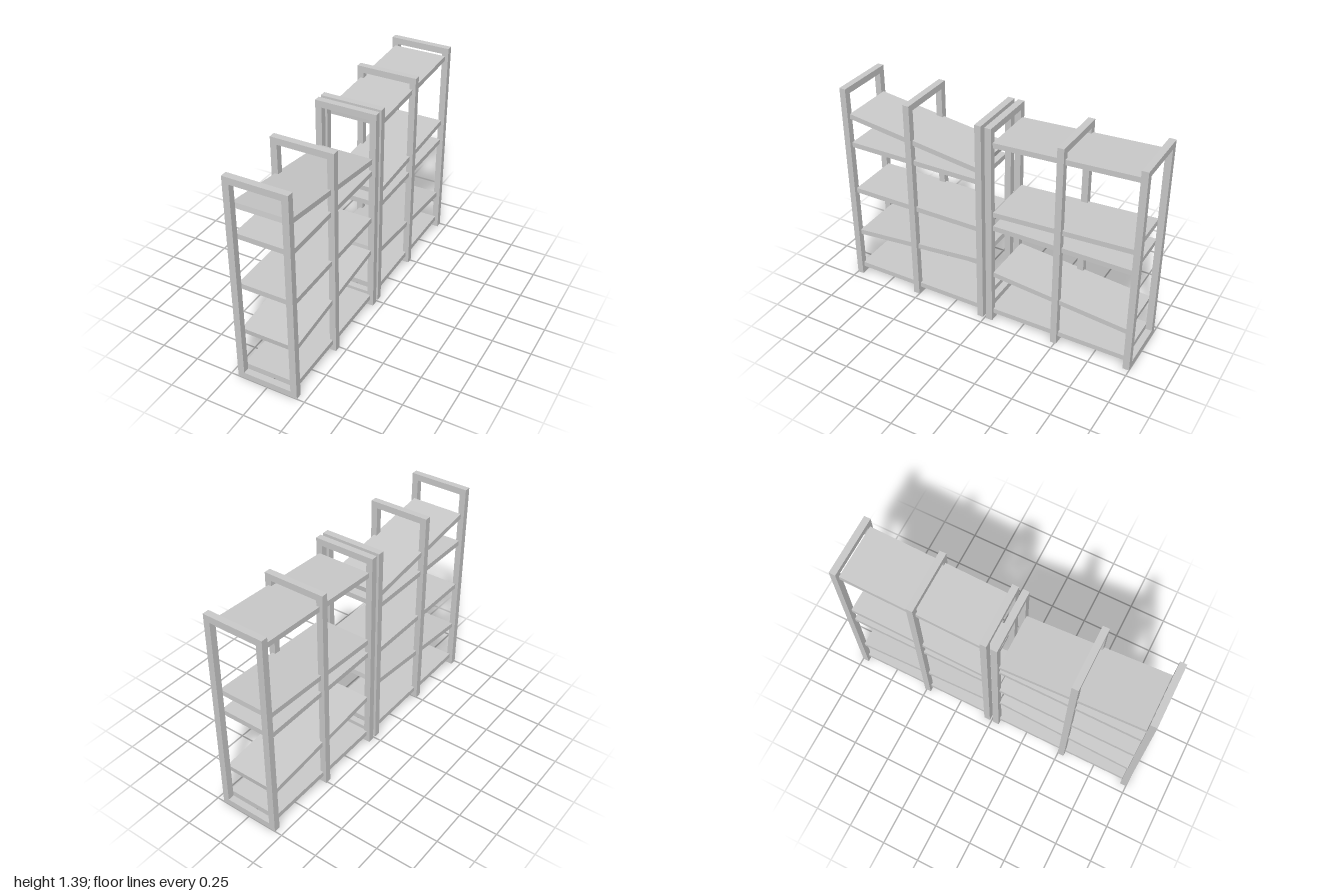
import * as THREE from 'three';

const material = new THREE.MeshStandardMaterial({ color: 0xcccccc, flatShading: true });
const W = 0.4, H = 1.39, BAR = 0.042;       // frame size and bar thickness
const SHELF_W = 0.357, SHELF_T = 0.034;

// Rectangular upright frame with an open middle
function makeFrame(z) {
  const shape = new THREE.Shape();
  shape.moveTo(-W / 2, 0).lineTo(W / 2, 0).lineTo(W / 2, H).lineTo(-W / 2, H).closePath();
  const x = W / 2 - BAR, hole = new THREE.Path();
  hole.moveTo(-x, BAR).lineTo(-x, H - BAR).lineTo(x, H - BAR).lineTo(x, BAR).closePath();
  shape.holes.push(hole);
  const geometry = new THREE.ExtrudeGeometry(shape, { depth: BAR, bevelEnabled: false });
  const frame = new THREE.Mesh(geometry, material);
  frame.name = 'uprightFrame';
  frame.position.z = z - BAR / 2;
  return frame;
}

// Board running from height yFront at zFront to height yBack at zBack
function makeShelf(yFront, yBack, zFront, zBack) {
  const dz = zFront - zBack, dy = yFront - yBack;
  const shelf = new THREE.Mesh(new THREE.BoxGeometry(SHELF_W, SHELF_T, Math.hypot(dz, dy)), material);
  shelf.name = 'shelf';
  shelf.position.set(0, (yFront + yBack) / 2, (zFront + zBack) / 2);
  shelf.rotation.x = -Math.atan2(dy, dz);
  return shelf;
}

// One bookcase: three frames threaded by five shelves
function makeUnit(name, frames, shelves) {
  const unit = new THREE.Group();
  unit.name = name;
  for (const z of frames) unit.add(makeFrame(z));
  const zFront = frames[0] - BAR / 2, zBack = frames[2] + BAR / 2;
  for (const [yFront, yBack] of shelves) unit.add(makeShelf(yFront, yBack, zFront, zBack));
  return unit;
}

export function createModel() {
  const model = new THREE.Group();
  model.name = 'shelving';
  model.add(makeUnit('frontUnit', [0.979, 0.521, 0.033],
    [[1.198, 1.077], [0.998, 0.998], [0.66, 0.66], [0.332, 0.417], [0.064, 0.061]]));
  model.add(makeUnit('backUnit', [-0.033, -0.49, -0.979],
    [[1.275, 1.319], [0.8, 0.848], [0.703, 0.703], [0.354, 0.27], [0.064, 0.064]]));
  return model;
}
